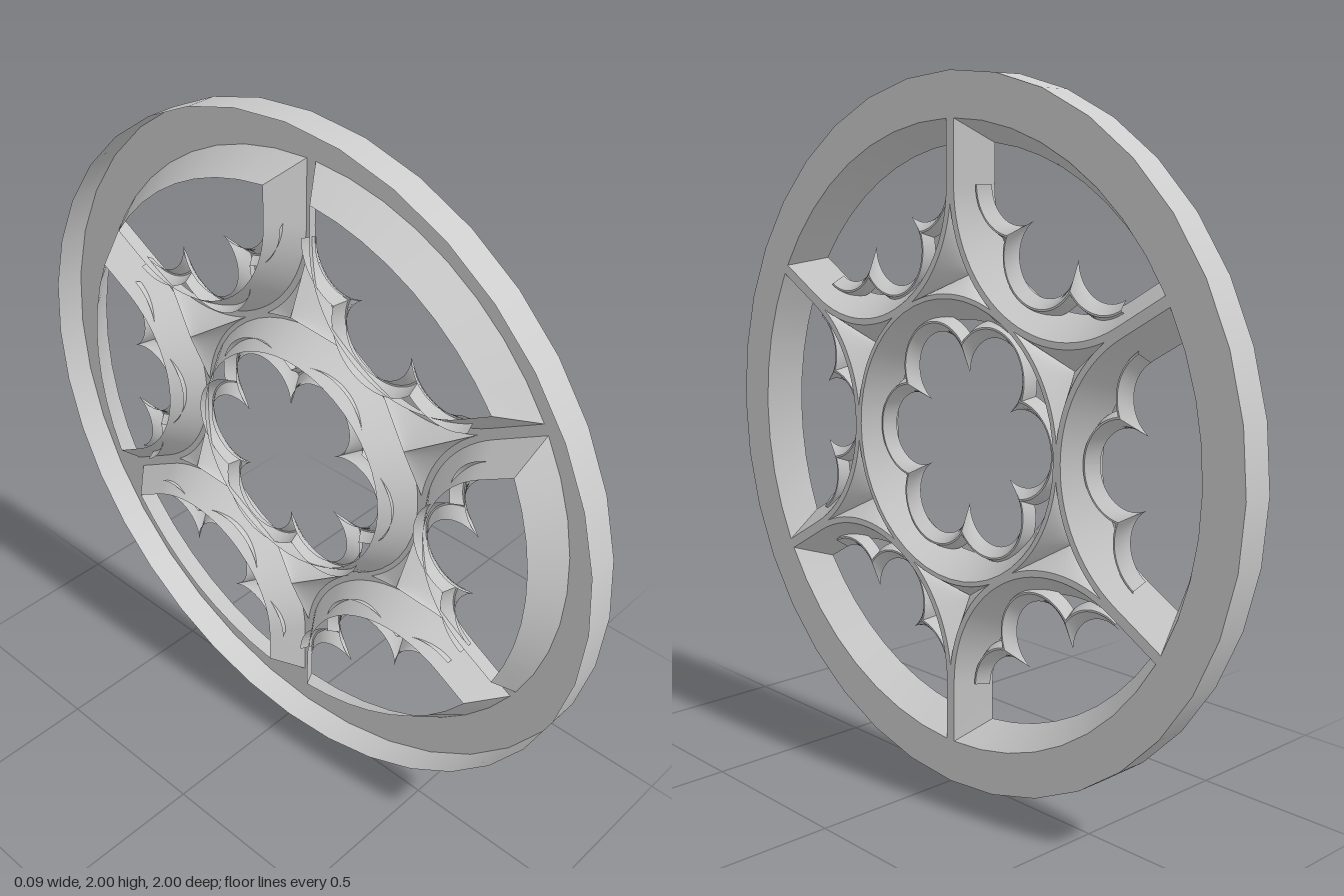
import * as THREE from 'three';

const H = 0.045;            // half depth of the tracery
const C = 0.81;             // distance of each light's circle from the hub
const rad = THREE.MathUtils.degToRad;
// the tracery is a shell open at the back, so both sides show
const stone = new THREE.MeshStandardMaterial({ color: 0xcccccc, side: THREE.DoubleSide });
stone.name = 'stone grey';

// points along an arc, angles in radians
function arc(cx, cy, r, a0, a1, n) {
  return Array.from({ length: n + 1 }, (_, i) => {
    const a = a0 + (a1 - a0) * i / n;
    return new THREE.Vector2(cx + r * Math.cos(a), cy + r * Math.sin(a));
  });
}

const at = (points, z) => points.map(p => new THREE.Vector3(p.x, p.y, z));

// surface between two rows of points
function loft(a, b) {
  const n = a.length, index = [];
  for (let i = 0; i < n - 1; i++) index.push(i, i + 1, n + i, i + 1, n + i + 1, n + i);
  const g = new THREE.BufferGeometry().setFromPoints([...a, ...b]);
  g.setIndex(index);
  g.computeVertexNormals();
  return g;
}

// outline of a light: outer arc, then the inner arc with its straight flanks
function lightOutline(e, outer) {
  const phi = Math.PI / 6 - Math.asin(e / outer);
  const rim = arc(0, 0, outer, -phi, phi, 8);
  const bowl = arc(C, 0, C / 2 - e, rad(120), rad(240), 28);
  return [rim, [rim[8], ...bowl, rim[0]]];
}

// outline of a spandrel: hub side, then its two curved flanks
function spandrelOutline() {
  const r = 0.408, cx = C * Math.cos(rad(30)), cy = C / 2;
  const k = Math.acos(cy / r);
  return [
    arc(0, 0, r, rad(30) - k, k - rad(30), 12),
    arc(cx, -cy, r, rad(150) - k, rad(90) + k, 12),
    arc(cx, cy, r, -rad(90) - k, -rad(150) + k, 12),
  ];
}

// thin moulded foil: strips along one lobe, meeting its neighbours in sharp cusps
function foilGeometries(from, to) {
  const d = 0.2133, q = d / 2, n = 20;
  const section = [[0, -0.03], [0.026, 0.002], [0.031, 0.002], [0.048, -0.03]];
  const rows = section.map(([ds, z]) => {
    const s = q + ds;
    const r = d * Math.cos(rad(30)) + Math.sqrt(s * s - q * q);
    const end = Math.atan2(r * 0.5, r * Math.cos(rad(30)) - d);
    return Array.from({ length: n + 1 }, (_, i) => {
      const t = (from + (to - from) * i / n) * end;
      return new THREE.Vector3(d + s * Math.cos(t), s * Math.sin(t), z);
    });
  });
  return rows.slice(1).map((row, i) => loft(rows[i], row));
}

// carved face with full-depth splayed openings
function createTracery() {
  const tracery = new THREE.Group();
  tracery.name = 'tracery';
  const add = (parent, name, geometry) => {
    const mesh = new THREE.Mesh(geometry, stone);
    mesh.name = name;
    parent.add(mesh);
    return mesh;
  };

  const lightFront = lightOutline(0.015, 0.875);
  const lightBack = lightOutline(0.08, 0.815);
  const spandrel = spandrelOutline();
  const hubFront = arc(0, 0, 0.395, 0, Math.PI * 2, 48);
  const hubBack = arc(0, 0, 0.332, 0, Math.PI * 2, 48);

  // flat face pierced by hub, lights and spandrels
  const face = new THREE.Shape(arc(0, 0, 1, 0, Math.PI * 2, 36).slice(0, -1));
  const pierce = (parts, angle) => {
    const pts = parts.flatMap(p => p.slice(0, -1));
    const origin = new THREE.Vector2();
    face.holes.push(new THREE.Path(pts.map(p => p.clone().rotateAround(origin, angle))));
  };
  pierce([hubFront], 0);
  for (let i = 0; i < 6; i++) {
    pierce(lightFront, rad(60 * i));
    pierce(spandrel, rad(60 * i + 30));
  }
  add(tracery, 'traceryFace', new THREE.ShapeGeometry(face)).position.z = H;

  // splay around the hub opening
  add(tracery, 'hubSplay', loft(at(hubFront, H), at(hubBack, -H)));

  const lightWalls = lightFront.map((p, i) => loft(at(p, H), at(lightBack[i], -H)));
  const apex = new THREE.Vector3(0.458, 0, -0.03);
  const pitWalls = spandrel.map(p => loft(at(p, H), p.map(() => apex)));
  // each lobe is two halves, so the cusps stay sharp
  const leftFoil = foilGeometries(1, 0), rightFoil = foilGeometries(0, -1);
  const fullFoil = [...leftFoil, ...rightFoil];
  const lightFoils = [[120, leftFoil], [180, fullFoil], [240, rightFoil]];

  for (let i = 0; i < 6; i++) {
    // light splays and sunk spandrel
    const bay = new THREE.Group();
    bay.name = 'bay';
    bay.rotation.z = rad(60 * i);
    tracery.add(bay);
    lightWalls.forEach(g => add(bay, 'lightSplay', g));
    pitWalls.forEach(g => { add(bay, 'spandrelRecess', g).rotation.z = rad(30); });
    // hub foil
    fullFoil.forEach(g => add(bay, 'hubFoil', g));
    // three foils along the bowl of the light
    for (const [angle, geometries] of lightFoils) {
      geometries.forEach(g => {
        const foil = add(bay, 'lightFoil', g);
        foil.position.x = C;
        foil.rotation.z = rad(angle);
      });
    }
  }
  return tracery;
}

export function createModel() {
  const model = new THREE.Group();
  model.name = 'roseWindow';
  const wheel = new THREE.Group();
  wheel.name = 'wheel';
  wheel.position.y = 1;
  wheel.rotation.y = Math.PI / 2;
  model.add(wheel);

  // outer edge of the ring
  const rimGeometry = new THREE.CylinderGeometry(1, 1, H * 2, 36, 1, true);
  rimGeometry.rotateY(Math.PI / 2).rotateX(Math.PI / 2);
  const rim = new THREE.Mesh(rimGeometry, stone);
  rim.name = 'outerRim';
  wheel.add(rim, createTracery());
  return model;
}
